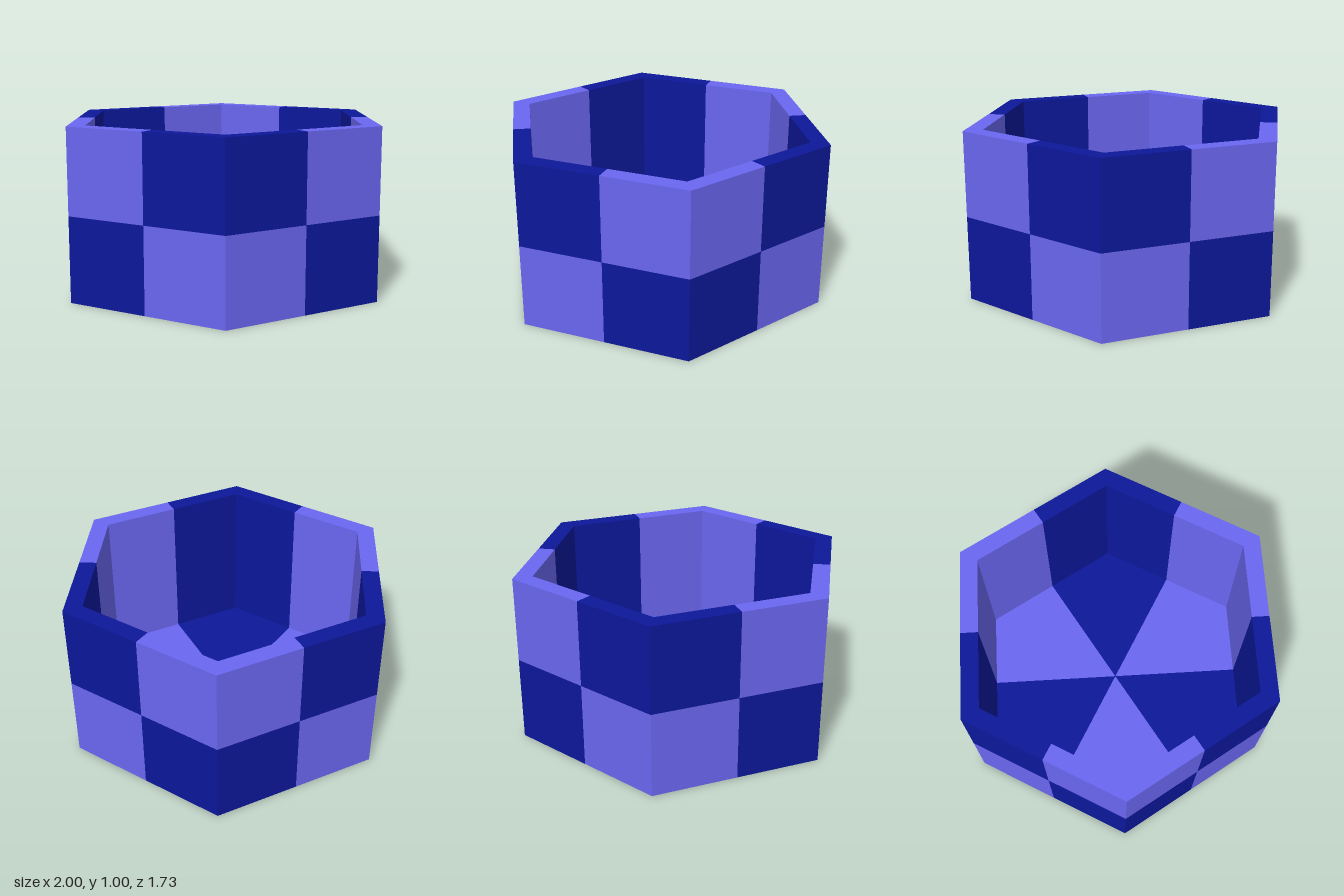
import * as THREE from 'three';

const LIGHT = 0x6a66f0, DARK = 0x0c1799;
const INNER = 0.885, FLOOR = 0.1;

// One corner wedge of a hexagon: a two-step lathe whose ends sit on the flat sides' midpoints
function wedge(profile, corner) {
  const points = profile.map(([r, y]) => new THREE.Vector2(r, y));
  const geometry = new THREE.LatheGeometry(points, 2, corner - Math.PI / 6, Math.PI / 3);
  const pos = geometry.attributes.position;
  const apothem = Math.cos(Math.PI / 6);
  for (let i = 0; i < pos.count; i++) {
    const step = Math.floor(i / points.length);
    if (step !== 1) pos.setXYZ(i, pos.getX(i) * apothem, pos.getY(i), pos.getZ(i) * apothem);
  }
  const flat = geometry.toNonIndexed();
  flat.computeVertexNormals();
  return flat;
}

export function createModel() {
  const group = new THREE.Group();
  group.name = 'hexagonalCup';
  const materials = [LIGHT, DARK].map(
    (color) => new THREE.MeshStandardMaterial({ color, flatShading: true }));

  // Upper outside, rim, inner wall and inner floor
  const upper = [[1, 0.5], [1, 1], [INNER, 1], [INNER, FLOOR], [0, FLOOR]];
  // Underside and lower outside
  const lower = [[0, 0], [1, 0], [1, 0.5]];

  // Six corners in alternating colours, swapped between the two rows
  for (let k = 0; k < 6; k++) {
    const corner = Math.PI / 6 + (k * Math.PI) / 3;
    const top = new THREE.Mesh(wedge(upper, corner), materials[k % 2]);
    top.name = 'upperWedge' + (k + 1);
    const bottom = new THREE.Mesh(wedge(lower, corner), materials[(k + 1) % 2]);
    bottom.name = 'lowerWedge' + (k + 1);
    group.add(top, bottom);
  }
  return group;
}
